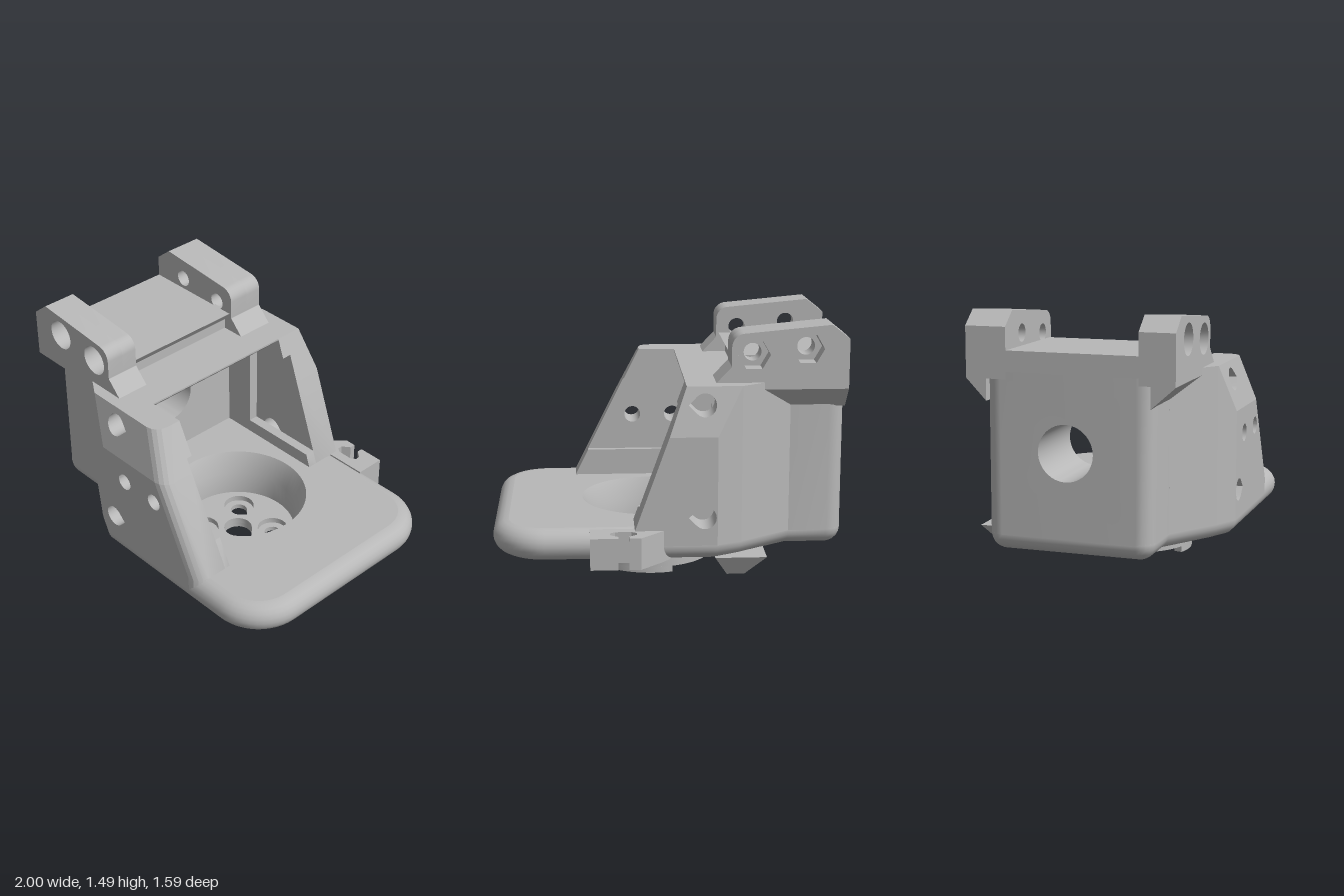
import * as THREE from 'three';
import { toCreasedNormals } from 'three/addons/utils/BufferGeometryUtils.js';

const V = (x, y) => new THREE.Vector2(x, y);
const ZC = 0.06; // symmetry plane of the body

// closed point loops used as outlines and holes
const circle = (cx, cy, r, n = 32) =>
  Array.from({ length: n }, (_, i) => V(cx + r * Math.cos((i / n) * 2 * Math.PI), cy + r * Math.sin((i / n) * 2 * Math.PI)));
const teardrop = (cx, cy, r) => {
  const p = [V(cx + r * Math.SQRT2, cy)];
  for (let i = 0; i <= 16; i++) {
    const a = Math.PI * (0.25 + (1.5 * i) / 16);
    p.push(V(cx + r * Math.cos(a), cy + r * Math.sin(a)));
  }
  return p;
};
const arc = (cx, cy, r, a0, a1, n) =>
  Array.from({ length: n + 1 }, (_, i) => {
    const a = a0 + ((a1 - a0) * i) / n;
    return V(cx + r * Math.cos(a), cy + r * Math.sin(a));
  });
const shapeOf = (pts, holes = []) => {
  const s = new THREE.Shape(pts.map((p) => (Array.isArray(p) ? V(p[0], p[1]) : p)));
  holes.forEach((h) => s.holes.push(new THREE.Path(h)));
  return s;
};
const slab = (pts, holes, depth, steps = 1) =>
  new THREE.ExtrudeGeometry(shapeOf(pts, holes), { depth, steps, bevelEnabled: false });
// slab lying flat: points are (x, -z)
const flatSlab = (pts, holes, y0, y1) => slab(pts, holes, y1 - y0).rotateX(-Math.PI / 2).translate(0, y0, 0);

// mirror a non-indexed geometry in z and restore its winding
function mirrorZ(g) {
  g.scale(1, 1, -1);
  const a = g.attributes.position;
  for (let i = 0; i < a.count; i += 3) {
    const x = a.getX(i), y = a.getY(i), z = a.getZ(i);
    a.setXYZ(i, a.getX(i + 1), a.getY(i + 1), a.getZ(i + 1));
    a.setXYZ(i + 1, x, y, z);
  }
  return g;
}

export function createModel() {
  const model = new THREE.Group();
  const grey = new THREE.MeshStandardMaterial({ color: 0xb8b8b8, side: THREE.DoubleSide });
  grey.name = 'plain grey';
  const add = (name, geo, crease = 0.5) => {
    const mesh = new THREE.Mesh(toCreasedNormals(geo, crease), grey);
    mesh.name = name;
    model.add(mesh);
  };

  // base plate with fully rounded rim
  const half = [...arc(0.7, 0.43, 0.3, 0, Math.PI / 2, 12), V(-0.26, 0.73), V(-0.4, 0.66), V(-0.69, 0.47),
    ...arc(-0.91, 0.38, 0.09, Math.PI / 2, Math.PI, 5)];
  const outline = [...half, ...half.map((p) => V(p.x, -p.y)).reverse()];
  const n = outline.length;
  const normals = outline.map((p, i) => {
    const t = p.clone().sub(outline[(i + n - 1) % n]).normalize().add(outline[(i + 1) % n].clone().sub(p).normalize()).normalize();
    return V(t.y, -t.x);
  });
  const R = 0.09, rows = 10, pos = [], idx = [];
  for (let k = 0; k <= rows; k++) {
    const a = Math.PI * (k / rows - 0.5);
    outline.forEach((p, i) => {
      const d = R * (Math.cos(a) - 1);
      pos.push(p.x + normals[i].x * d, 0.28 + R * Math.sin(a), ZC + p.y + normals[i].y * d);
      if (k < rows) {
        const j = (i + 1) % n, b = k * n, c = b + n;
        idx.push(b + i, c + i, b + j, c + i, c + j, b + j);
      }
    });
  }
  const rim = new THREE.BufferGeometry();
  rim.setAttribute('position', new THREE.Float32BufferAttribute(pos, 3));
  rim.setIndex(idx);
  add('basePlateRim', rim, 0.7);
  const inset = outline.map((p, i) => V(p.x - normals[i].x * R, p.y - normals[i].y * R));
  add('basePlateTop', new THREE.ShapeGeometry(shapeOf(inset.map((p) => V(p.x, -p.y)), [circle(0.08, 0, 0.41, 64)]))
    .rotateX(-Math.PI / 2).translate(0, 0.37, ZC));
  add('basePlateBottom', new THREE.ShapeGeometry(shapeOf(inset, [circle(0.08, 0, 0.36, 64)]))
    .rotateX(Math.PI / 2).translate(0, 0.19, ZC));

  // round boss below the plate, with countersunk dish and drilled floor
  const wall = [[0.365, 0.035], [0.365, 0.2], [0.35, 0.25], [0.41, 0.37]].map((p) => V(p[0], p[1]));
  add('bossOuterWall', new THREE.LatheGeometry(wall.slice(0, 2), 64).translate(0.08, 0, ZC));
  add('bossDish', new THREE.LatheGeometry([wall[3], wall[2], V(0.345, 0.1)], 64).translate(0.08, 0, ZC));
  const boltHoles = (r) => [-0.15, 0.15].flatMap((a) => [-0.15, 0.15].map((b) => teardrop(0.08 + a, -ZC + b, r)));
  [['bossFloorLower', 0.05, 0.035, 0.065], ['bossFloorUpper', 0.092, 0.065, 0.1]].forEach(([name, r, y0, y1]) =>
    add(name, flatSlab(circle(0.08, -ZC, 0.365, 64), [teardrop(0.08, -ZC, 0.085), ...boltHoles(r)], y0, y1)));
  add('bossRimArc', flatSlab([...arc(0.08, -ZC, 0.365, -1.88, 1.88, 40), ...arc(0.08, -ZC, 0.315, 1.88, -1.88, 40)], [], 0, 0.035));

  // thick end block with a bore along x and rounded upright corners
  const depths = [0, 0.007, 0.026, 0.055, 0.09, 0.48];
  const block = slab([[-0.53, 0.28], [0.41, 0.28], [0.41, 1.17], [-0.53, 1.17]], [circle(-0.05, 0.75, 0.155, 48)], 5, 5);
  const bp = block.attributes.position;
  for (let i = 0; i < bp.count; i++) {
    const d = depths[Math.round(bp.getZ(i))], u = bp.getX(i) + ZC, e = Math.max(0, R - d);
    bp.setZ(i, d);
    if (Math.abs(u) > 0.4) bp.setX(i, Math.sign(u) * (0.47 - R + Math.sqrt(R * R - e * e)) - ZC);
  }
  add('endBlock', block.rotateY(Math.PI / 2).translate(-1, 0, 0));

  // side cheeks: notched inner layer plus shaped outer patches
  const cheeks = [
    { name: 'frontCheek', sign: 1, top: 0.13, k: 0.5, round: 0.08, mid: 0.525, notch: [0.53, 0.98], bore: true },
    { name: 'backCheek', sign: -1, top: -0.09, k: 0.3625, round: 0, mid: 0.55, notch: [0.45, 1.05], bore: false },
  ];
  for (const c of cheeks) {
    const edge = (y) => c.top + (1.17 - Math.max(y, 0.37)) * c.k;
    const surface = (x, y) => {
      let h = Math.min(0.73, x < -0.4 ? 0.66 + (x + 0.4) * 0.655 : 0.66 + (x + 0.4) * 0.5, 0.73 - (y - 0.9) * 0.26);
      if (c.round) {
        const t = THREE.MathUtils.clamp((x - edge(y)) / c.round + 1, 0, 1);
        h -= c.round * (1 - Math.sqrt(1 - t * t));
      }
      return h;
    };
    const patch = (name, pts, holes, inner, outer) => {
      const g = slab(pts, holes, 1), p = g.attributes.position;
      for (let i = 0; i < p.count; i++) p.setZ(i, p.getZ(i) < 0.5 ? inner : outer ?? surface(p.getX(i), p.getY(i)));
      if (c.sign < 0) mirrorZ(g);
      add(c.name + name, g.translate(0, 0, ZC));
    };
    const [n0, n1] = c.notch;
    patch('Inner', [[-0.52, 0.28], [edge(0), 0.28], [edge(0), 0.37], [edge(n0), n0], [-0.33, n0], [-0.33, n1],
      [edge(n1), n1], [c.top, 1.17], [-0.52, 1.17]],
      c.bore ? [teardrop(-0.19, 0.44, 0.035), teardrop(-0.19, 1.07, 0.035)] : [], 0.49, c.mid);
    patch('TaperEnd', [[-0.69, 0.28], [-0.52, 0.28], [-0.52, 1.17], [-0.69, 1.17]], [], 0.4);
    patch('Taper', [[-0.52, 0.28], [-0.4, 0.28], [-0.4, 1.17], [-0.52, 1.17]], [], c.mid);
    patch('Bend', [[-0.4, 0.28], [-0.26, 0.28], [-0.26, 0.9], [-0.4, 1.17]], [], c.mid);
    const e = (y, t = 0) => edge(y) - c.round * (1 - t);
    patch('Face', [[-0.26, 0.28], [e(0), 0.28], [e(0), 0.37], [e(0.9), 0.9], [-0.26, 0.9]],
      [teardrop(-0.19, 0.44, 0.064), ...(c.bore ? [circle(-0.08, 0.75, 0.05), circle(0.17, 0.75, 0.05)] : [])], c.mid);
    patch('UpperFace', [[-0.26, 0.9], [e(0.9), 0.9], [e(1.17), 1.17], [-0.4, 1.17]], [teardrop(-0.19, 1.07, 0.064)], c.mid);
    // rounded leading edge
    const ts = c.round ? [0, 0.4, 0.7, 0.9, 1] : [];
    for (let i = 0; i + 1 < ts.length; i++) {
      const [a, b] = [ts[i], ts[i + 1]];
      patch('Edge', [[e(0, a), 0.28], [e(0, b), 0.28], [e(0, b), 0.37], [e(0.9, b), 0.9], [e(0.9, a), 0.9], [e(0, a), 0.37]], [], c.mid);
      patch('UpperEdge', [[e(0.9, a), 0.9], [e(0.9, b), 0.9], [e(1.17, b), 1.17], [e(1.17, a), 1.17]], [], c.mid);
    }
  }

  // roof between the cheeks and the raised deck with an undercut lip
  add('roof', slab([[-0.53, 1.11], [-0.14, 1.11], [-0.09, 1.16], [-0.09, 1.17], [-0.53, 1.17]], [], 0.98).translate(0, 0, ZC - 0.49));
  add('raisedDeck', slab([[-1, 1.17], [-0.4, 1.17], [-0.4, 1.23], [-0.36, 1.285], [-1, 1.285]], [], 0.76).translate(0, 0, -0.3));

  // pair of ears with counterbored holes, round in front and hexagonal behind
  const ear = [[-1, 1.13], [-0.26, 1.13], [-0.26, 1.17], [-0.345, 1.26], ...arc(-0.42, 1.37, 0.075, 0, 1.48, 8), [-0.9, 1.49], [-1, 1.41]];
  const earHoles = (r, sides) => [[-0.77, 1.355], [-0.47, 1.325]].map(([x, y]) => circle(x, y, r, sides));
  const earLayer = (name, r, sides, z0, z1) => add(name, slab(ear, earHoles(r, sides), z1 - z0).translate(0, 0, z0));
  earLayer('frontEarInner', 0.05, 32, 0.455, 0.55);
  earLayer('frontEarOuter', 0.088, 32, 0.55, 0.655);
  earLayer('backEarInner', 0.05, 32, -0.41, -0.285);
  earLayer('backEarOuter', 0.09, 6, -0.515, -0.41);
  // sloping supports under the ears, points are (-z, y)
  const support = (name, pts) => add(name, slab(pts, [], 0.5).rotateY(Math.PI / 2).translate(-1, 0, 0));
  support('frontEarSupport', [[-0.655, 1.13], [-0.52, 1.01], [-0.52, 1.13]]);
  support('backEarSupport', [[0.4, 1.01], [0.515, 1.13], [0.4, 1.13]]);

  // cable clip at the back of the plate, points are (x, -z)
  add('cableClip', flatSlab([[0, 0.62], [0.45, 0.62], [0.45, 0.8], [0.295, 0.8], [0.295, 0.765], [0.34, 0.73], [0.34, 0.7],
    [0.31, 0.68], [0.22, 0.68], [0.19, 0.7], [0.19, 0.73], [0.235, 0.765], [0.235, 0.8], [0.17, 0.8], [0.04, 0.67]], [], 0.19, 0.37));

  // tapered lug under the back edge
  const lug = new THREE.BoxGeometry(1, 1, 1), lp = lug.attributes.position;
  for (let i = 0; i < lp.count; i++) {
    const up = lp.getY(i) > 0, right = lp.getX(i) > 0, back = lp.getZ(i) < 0;
    lp.setXYZ(i, right ? (up ? -0.25 : -0.32) : up ? -0.54 : -0.42, up ? 0.2 : 0.085, back ? (up ? -0.65 : -0.59) : -0.425);
  }
  add('underLug', lug);
  return model;
}
